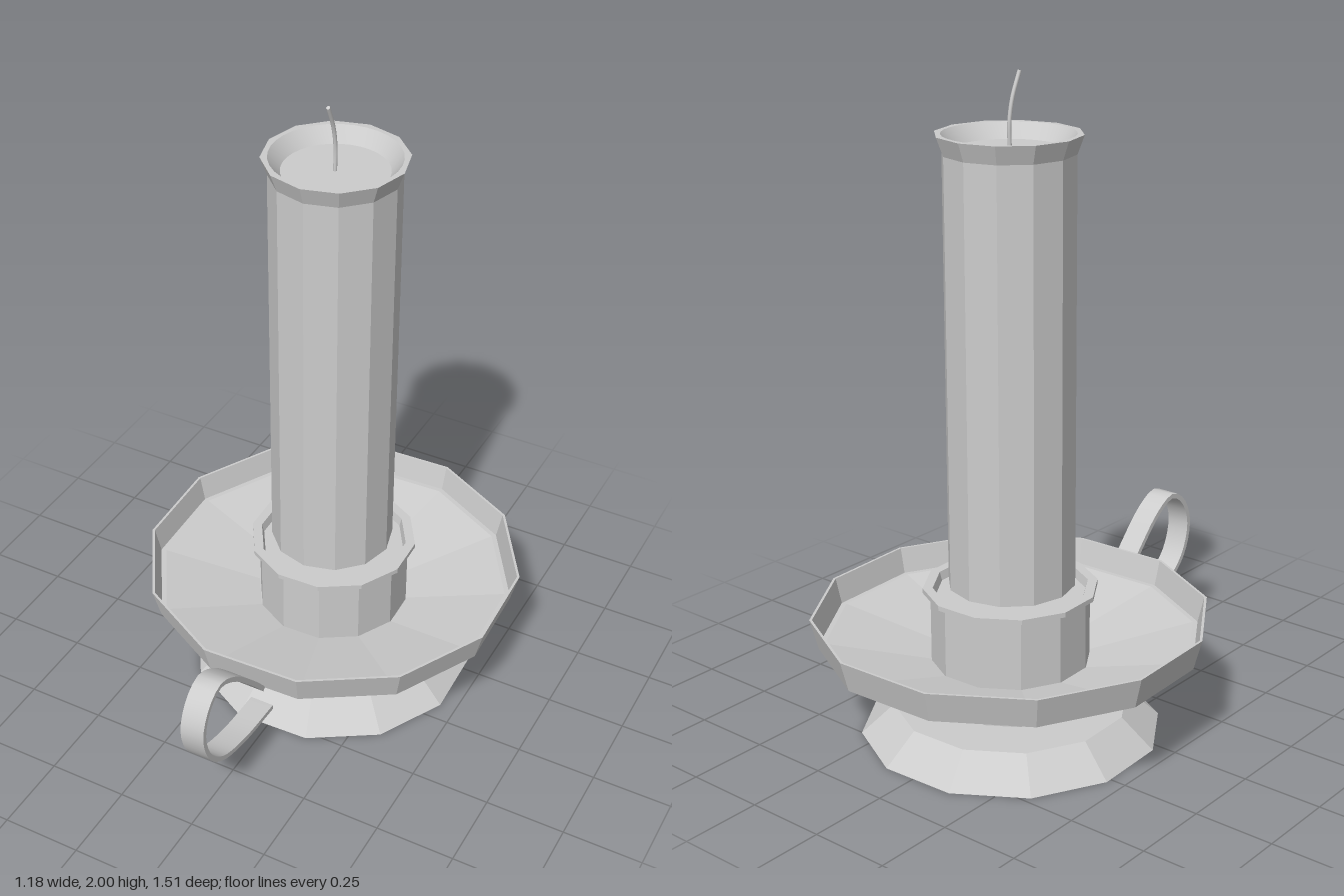
import * as THREE from 'three';
import { toCreasedNormals } from 'three/addons/utils/BufferGeometryUtils.js';

const AXIS_Z = -0.165;
const TURN = THREE.MathUtils.degToRad(17);

export function createModel() {
  const group = new THREE.Group();
  const grey = new THREE.MeshStandardMaterial({ color: 0xcccccc, side: THREE.DoubleSide });
  grey.name = 'grey';

  const add = (name, geometry, x = 0, y = 0, z = AXIS_Z) => {
    const mesh = new THREE.Mesh(geometry, grey);
    mesh.name = name;
    mesh.position.set(x, y, z);
    group.add(mesh);
    return mesh;
  };
  // Turned part from [radius, height] pairs, faceted or smooth around the axis
  const turned = (profile, sides = 12, turn = TURN, smooth = false) => {
    const points = profile.map(([r, y]) => new THREE.Vector2(r, y));
    const geometry = new THREE.LatheGeometry(points, sides, turn).toNonIndexed();
    if (smooth) return toCreasedNormals(geometry, 0.5);
    geometry.computeVertexNormals();
    return geometry;
  };

  // Hollow foot, open underneath, and its stem
  add('foot', turned([[0.46, 0], [0.36, 0.09], [0.2, 0.09]]));
  add('stem', turned([[0.2, 0.09], [0.2, 0.222]]));

  // Drip dish with a flared wall
  add('dish', turned([
    [0, 0.22], [0.245, 0.22], [0.58, 0.29], [0.605, 0.385], [0.597, 0.385],
    [0.578, 0.305], [0.562, 0.305], [0.245, 0.235],
  ]));

  // Socket cup with a thin lip and shallow recess
  add('cup', turned([
    [0.242, 0.225], [0.242, 0.452], [0.265, 0.452], [0.265, 0.467],
    [0.235, 0.467], [0.228, 0.44], [0, 0.44],
  ]));

  // Candle with a flared top
  add('candle', turned([[0, 0.477], [0.193, 0.477], [0.193, 1.775], [0.213, 1.83]], 12, 0), -0.004);

  // Flat rim: faceted outside, round inside
  const rim = new THREE.Shape();
  for (let i = 0; i < 12; i++) {
    const a = (i / 12) * Math.PI * 2;
    const p = [0.213 * Math.cos(a), 0.213 * Math.sin(a)];
    if (i) rim.lineTo(...p); else rim.moveTo(...p);
  }
  rim.closePath();
  rim.holes.push(new THREE.Path().absarc(0, 0, 0.192, 0, Math.PI * 2, true));
  add('candleRim', new THREE.ShapeGeometry(rim, 16).rotateX(-Math.PI / 2), -0.004, 1.83);

  // Melted hollow inside the rim
  add('waxPool', turned([[0.192, 1.83], [0.157, 1.785], [0, 1.785]], 32, 0, true), -0.004);

  // Bent wick
  const wickPath = new THREE.CatmullRomCurve3([
    [0.002, 1.78], [0.001, 1.86], [0.014, 1.925], [0.046, 1.998],
  ].map(([z, y]) => new THREE.Vector3(0, y, z)));
  add('wick', new THREE.TubeGeometry(wickPath, 12, 0.006, 8), -0.005);
  const tip = add('wickTip', new THREE.CircleGeometry(0.006, 8), -0.005, 1.998, AXIS_Z + 0.046);
  tip.rotation.x = -1.1;

  // Strap handle: a curved band swept in the z-y plane, then given width along x
  const strapPath = new THREE.CatmullRomCurve3([
    [0.395, 0.285], [0.47, 0.375], [0.57, 0.475], [0.645, 0.511], [0.705, 0.478], [0.743, 0.395],
    [0.718, 0.29], [0.645, 0.216], [0.52, 0.177], [0.345, 0.163],
  ].map(([z, y]) => new THREE.Vector3(z, y, 0)));
  const inner = [], outer = [];
  for (let i = 0; i <= 36; i++) {
    const p = strapPath.getPointAt(i / 36);
    const t = strapPath.getTangentAt(i / 36);
    outer.push(new THREE.Vector2(p.x - t.y * 0.008, p.y + t.x * 0.008));
    inner.unshift(new THREE.Vector2(p.x + t.y * 0.008, p.y - t.x * 0.008));
  }
  const strap = new THREE.ExtrudeGeometry(new THREE.Shape([...outer, ...inner]), {
    depth: 0.077, bevelEnabled: false,
  });
  strap.rotateY(-Math.PI / 2);
  add('handle', toCreasedNormals(strap, 0.6), 0.057, 0, 0);

  return group;
}
